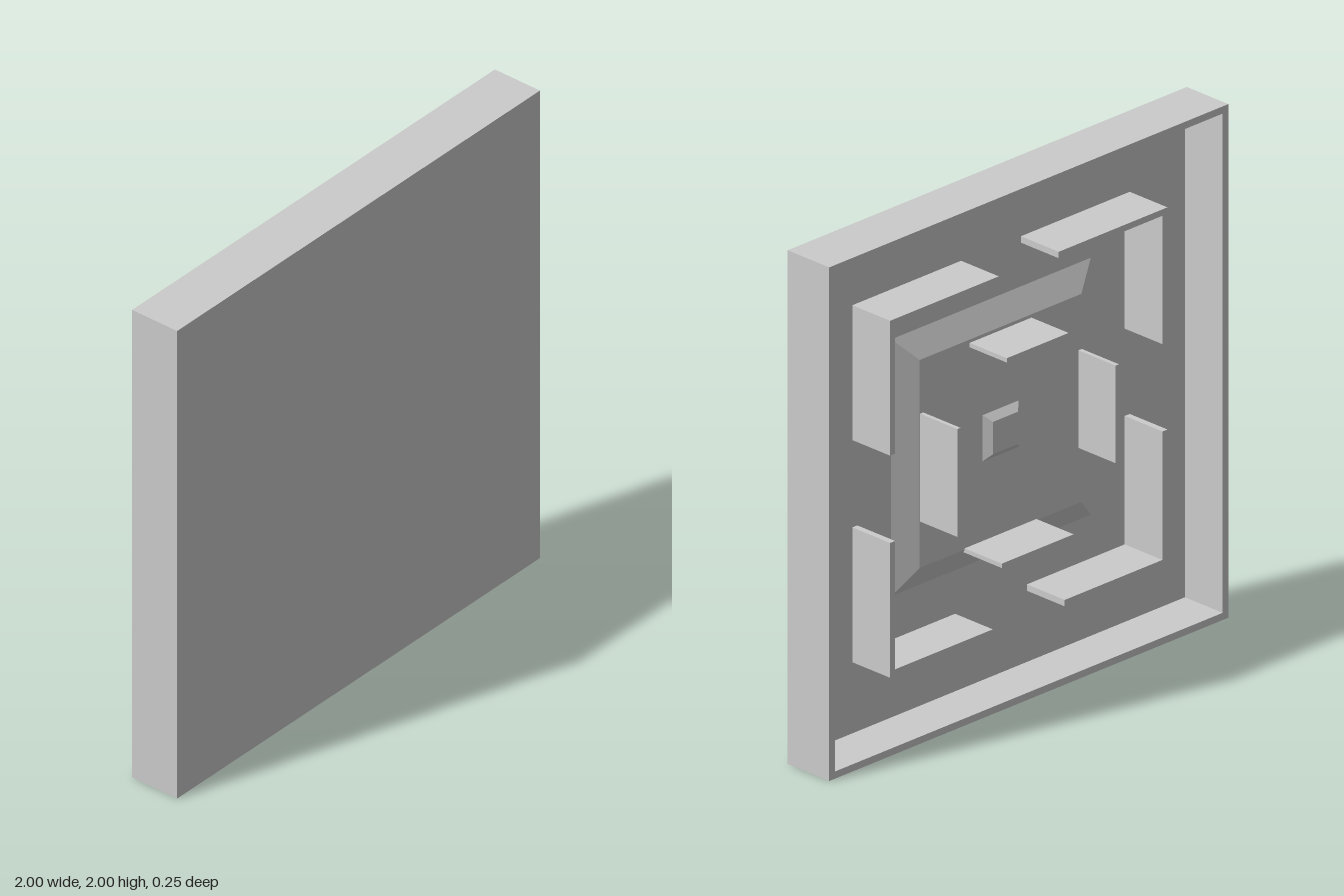
import * as THREE from 'three';

const FRONT = 0.127, FLOOR = 0.108, RIM = -0.082, STEP = 0.06, BACK = -0.127;

export function createModel() {
  const group = new THREE.Group();
  const material = new THREE.MeshStandardMaterial({ color: 0xcccccc, flatShading: true });

  const add = (name, geometry) => {
    const mesh = new THREE.Mesh(geometry, material);
    mesh.name = name;
    group.add(mesh);
    return mesh;
  };

  // Box given by its limits, with y measured from the panel's centre
  const block = (name, x0, x1, y0, y1, z0, z1) =>
    add(name, new THREE.BoxGeometry(x1 - x0, y1 - y0, z1 - z0))
      .position.set((x0 + x1) / 2, 1 + (y0 + y1) / 2, (z0 + z1) / 2);

  // Polygon extruded from zBack to zFront
  const prism = (name, shape, zBack, zFront) =>
    add(name, new THREE.ExtrudeGeometry(shape, { depth: zFront - zBack, bevelEnabled: false }))
      .position.set(0, 1, zBack);

  const shapeOf = (points) => new THREE.Shape(points.map(([x, y]) => new THREE.Vector2(x, y)));
  const square = (h) => [[-h, -h], [h, -h], [h, h], [-h, h]];

  // Four-sided frustum rising towards the back
  const frustum = (name, halfBase, halfTop, zBase, zTop) => {
    const geometry = new THREE.CylinderGeometry(halfTop * Math.SQRT2, halfBase * Math.SQRT2, zBase - zTop, 4);
    geometry.rotateY(Math.PI / 4).rotateX(-Math.PI / 2);
    add(name, geometry).position.set(0, 1, (zBase + zTop) / 2);
  };

  // Front panel and the rim around its back
  block('frontPanel', -1, 1, -1, 1, FLOOR, FRONT);
  const rim = shapeOf(square(1));
  rim.holes.push(shapeOf(square(0.972)));
  prism('rim', rim, RIM, FLOOR);

  // L-shaped walls in the four corners
  const o = 0.695, t = 0.025;
  for (const sx of [-1, 1]) {
    for (const sy of [-1, 1]) {
      const endX = sy > 0 ? 0.15 : 0.18, endY = 0.17;
      const corner = [[endX, o], [o, o], [o, endY], [o - t, endY], [o - t, o - t], [endX, o - t]];
      prism('cornerWall', shapeOf(corner.map(([x, y]) => [x * sx, y * sy])), RIM, FLOOR);
    }
  }

  // Raised centre with a small stud
  frustum('raisedCentre', 0.5, 0.405, FLOOR, STEP);
  frustum('centreStud', 0.09, 0.063, STEP, STEP - 0.025);

  // Thin fins standing near the edges of the raised centre
  block('topFin', -0.155, 0.155, 0.375, 0.392, BACK, STEP + 0.02);
  block('bottomFin', -0.18, 0.18, -0.417, -0.4, BACK, STEP + 0.02);
  block('leftFin', 0.387, 0.403, -0.225, 0.195, BACK, STEP + 0.02);
  block('rightFin', -0.407, -0.39, -0.19, 0.19, BACK, STEP + 0.02);

  return group;
}
